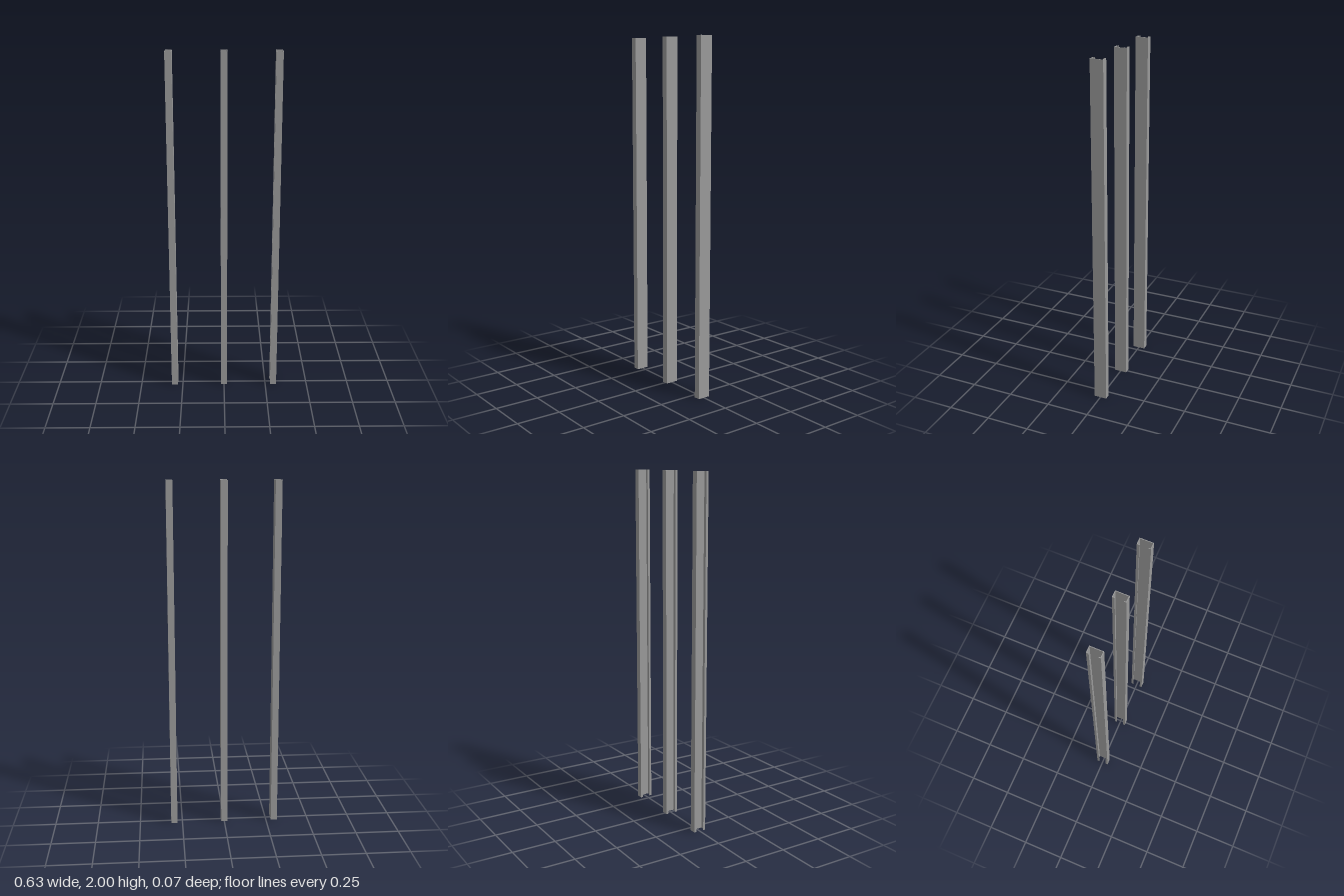
import * as THREE from 'three';

const HEIGHT = 2, SPACING = 0.298;
const W = 0.0185;  // half flange width (x)
const D = 0.037;   // half web depth (z)
const T = 0.0035;  // sheet thickness
const LIP = 0.0135; // lip length

// Lipped C-section: web on +x, open towards -x
function studProfile() {
  const half = [ // outer lip end round to the web, then back inside
    [-W + T, D - LIP], [-W, D - LIP], [-W, D], [W, D],
  ];
  const inner = [[W - T, D - T], [-W + T, D - T]];
  const mirror = (pts) => pts.map(([x, y]) => [x, -y]).reverse();
  const pts = [...half, ...mirror(half), ...mirror(inner), ...inner];
  return new THREE.Shape(pts.map(([x, y]) => new THREE.Vector2(x, y)));
}

export function createModel() {
  const group = new THREE.Group();
  group.name = 'wallStuds';
  const material = new THREE.MeshStandardMaterial({ color: 0x9a9a9a });

  // Profile extruded upwards
  const geometry = new THREE.ExtrudeGeometry(studProfile(), { depth: HEIGHT, bevelEnabled: false });
  geometry.rotateX(-Math.PI / 2);

  // Three evenly spaced studs
  ['rightStud', 'middleStud', 'leftStud'].forEach((name, i) => {
    const stud = new THREE.Mesh(geometry, material);
    stud.name = name;
    stud.position.x = (i - 1) * SPACING;
    group.add(stud);
  });
  return group;
}
